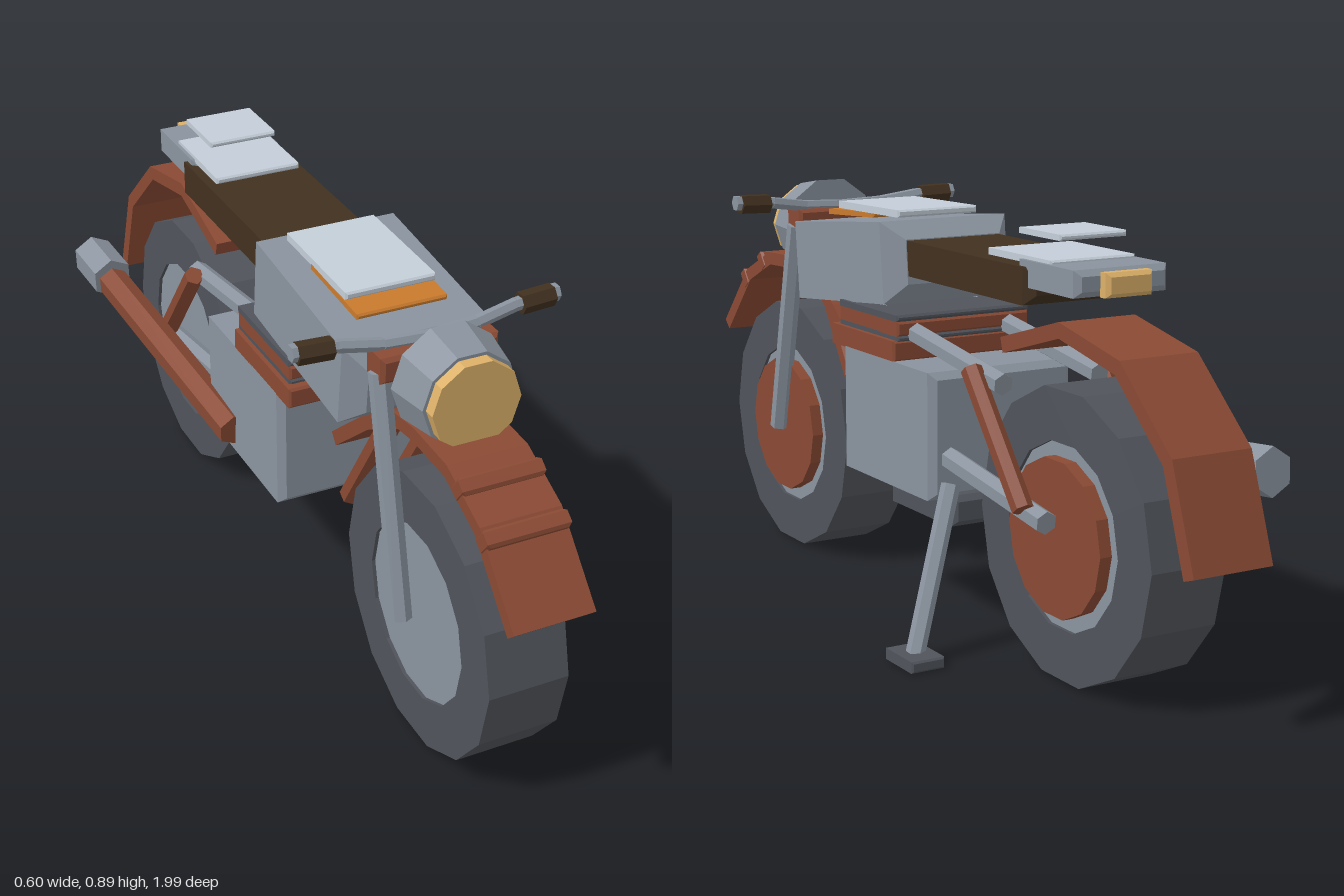
import * as THREE from 'three';

const mat = (color) => new THREE.MeshStandardMaterial({ color, flatShading: true });
const STEEL = mat(0x8a939e), PLATE = mat(0xc4ced8), TYRE = mat(0x50545b), RUST = mat(0x8a4a34),
  BROWN = mat(0x41301f), LENS = mat(0xdcb068), AMBER = mat(0xc87a2c);

const V = (x, y, z) => new THREE.Vector3(x, y, z);

export function createModel() {
  const model = new THREE.Group();
  model.name = 'motorbike';
  // the bike's own centre line sits slightly off x = 0 because of the side stand
  const bike = new THREE.Group();
  bike.name = 'bike';
  bike.position.x = -0.016;
  model.add(bike);

  const add = (name, geometry, material, parent = bike) => {
    const mesh = new THREE.Mesh(geometry, material);
    mesh.name = name;
    parent.add(mesh);
    return mesh;
  };

  // box with chamfered edges, given by its extents in y and z and its width
  const block = (name, w, [y0, y1], [z0, z1], c, material, tilt = 0, x = 0) => {
    const h = y1 - y0, d = z1 - z0, a = w / 2 - c, b = h / 2 - c;
    const shape = new THREE.Shape([[-a, -b], [a, -b], [a, b], [-a, b]].map((p) => new THREE.Vector2(...p)));
    const g = new THREE.ExtrudeGeometry(shape, {
      depth: d - 2 * c, bevelEnabled: true, bevelSize: c, bevelThickness: c, bevelSegments: 1,
    });
    g.translate(0, 0, c - d / 2).rotateX(tilt).translate(x, (y0 + y1) / 2, (z0 + z1) / 2);
    return add(name, g, material);
  };

  // straight round bar between two points
  const bar = (name, a, b, r, material, sides = 6, r2 = r) => {
    const dir = b.clone().sub(a);
    const g = new THREE.CylinderGeometry(r2, r, dir.length(), sides);
    const mesh = add(name, g, material);
    mesh.position.copy(a).add(b).multiplyScalar(0.5);
    mesh.quaternion.setFromUnitVectors(V(0, 1, 0), dir.normalize());
    return mesh;
  };

  // the same bar on both sides
  const barPair = (name, x, [y0, z0], [y1, z1], r, material, sides) => {
    for (const s of [1, -1]) bar(name + (s > 0 ? 'Left' : 'Right'), V(s * x, y0, z0), V(s * x, y1, z1), r, material, sides);
  };

  // bent sheet: [z, y] points along its middle, thickened and extruded across the bike
  const fender = (name, pts, t, w) => {
    const path = pts.map((p) => new THREE.Vector2(...p));
    const side = (s) => path.map((p, i) => {
      const d = path[Math.min(i + 1, path.length - 1)].clone().sub(path[Math.max(i - 1, 0)]).normalize();
      return new THREE.Vector2(p.x - d.y * s, p.y + d.x * s);
    });
    const shape = new THREE.Shape([...side(t / 2), ...side(-t / 2).reverse()]);
    const g = new THREE.ExtrudeGeometry(shape, { depth: w, bevelEnabled: false });
    g.translate(0, 0, -w / 2).rotateY(-Math.PI / 2);
    add(name, g, RUST);
  };

  // wheels: tyre ring, rim and a brake disc on the left
  const wheel = (name, z) => {
    const g = new THREE.Group();
    g.name = name;
    g.position.set(0, 0.295, z);
    g.rotation.z = -Math.PI / 2;
    bike.add(g);
    const ring = [[0.19, -0.085], [0.297, -0.085], [0.297, 0.085], [0.19, 0.085], [0.19, -0.085]];
    add('tyre', new THREE.LatheGeometry(ring.map((p) => new THREE.Vector2(...p)), 14), TYRE, g);
    add('rim', new THREE.CylinderGeometry(0.191, 0.191, 0.155, 14), STEEL, g);
    add('brakeDisc', new THREE.CylinderGeometry(0.16, 0.16, 0.028, 14), RUST, g).position.y = 0.09;
  };
  wheel('frontWheel', 0.626);
  wheel('rearWheel', -0.568);

  fender('frontFender', [[0.985, 0.485], [0.85, 0.63], [0.727, 0.685], [0.6, 0.69], [0.52, 0.68], [0.4, 0.605], [0.255, 0.485]], 0.03, 0.17);
  fender('rearFender', [[-0.35, 0.64], [-0.555, 0.7], [-0.75, 0.66], [-0.91, 0.515], [-0.98, 0.315]], 0.032, 0.178);
  // raised ribs on the front fender
  for (const [y, z] of [[0.618, 0.872], [0.672, 0.775]]) block('fenderRib', 0.174, [y - 0.02, y + 0.02], [z - 0.018, z + 0.018], 0.006, RUST, 0.65);

  // fork, crown and headlight
  barPair('fork', 0.115, [0.29, 0.625], [0.79, 0.514], 0.022, STEEL);
  block('forkCrown', 0.25, [0.775, 0.83], [0.475, 0.545], 0.008, RUST);
  const lamp = (name, rFront, rBack, z0, z1, material) => {
    const g = new THREE.CylinderGeometry(rFront, rBack, z1 - z0, 10, 1, false, Math.PI / 2);
    g.rotateX(Math.PI / 2).translate(0.002, 0.776, (z0 + z1) / 2);
    add(name, g, material);
  };
  lamp('headlightShell', 0.1, 0.116, 0.56, 0.657, STEEL);
  lamp('headlightLens', 0.093, 0.093, 0.65, 0.682, LENS);

  // handlebar in short straight lengths, with grips
  const half = [V(0, 0.832, 0.502), V(0.1, 0.836, 0.498), V(0.19, 0.849, 0.488), V(0.282, 0.856, 0.484)];
  for (const s of [1, -1]) {
    const p = half.map((v) => V(v.x * s, v.y, v.z));
    for (let i = 0; i < 3; i++) bar('handlebar', p[i], p[i + 1], 0.014, STEEL);
    bar('grip', V(s * 0.2, 0.848, 0.487), V(s * 0.272, 0.85, 0.484), 0.023, BROWN);
    bar('gripEnd', V(s * 0.27, 0.853, 0.484), V(s * 0.284, 0.853, 0.484), 0.018, STEEL);
  }

  // tank with its cover plates
  block('tank', 0.312, [0.655, 0.83], [-0.015, 0.47], 0.04, STEEL, 0.1);
  block('tankTrim', 0.196, [0.835, 0.847], [0.17, 0.385], 0.004, AMBER, 0.06);
  block('tankPlate', 0.196, [0.85, 0.866], [0.055, 0.335], 0.004, PLATE, 0.02);

  // seat, tail and rear plates
  block('seat', 0.228, [0.737, 0.812], [-0.485, 0.01], 0.02, BROWN);
  block('tail', 0.212, [0.772, 0.825], [-0.64, -0.43], 0.012, STEEL);
  block('tailPlate', 0.196, [0.818, 0.832], [-0.54, -0.31], 0.004, PLATE);
  block('rackPlate', 0.154, [0.868, 0.88], [-0.54, -0.39], 0.004, PLATE);
  block('tailLight', 0.106, [0.772, 0.82], [-0.665, -0.632], 0.008, LENS);

  // engine case, sump and finned cylinder
  block('engineCase', 0.345, [0.295, 0.565], [-0.213, 0.178], 0.015, STEEL);
  block('sump', 0.281, [0.245, 0.31], [-0.25, 0.02], 0.012, TYRE);
  [[0.345, 0.563, 0.608, RUST], [0.325, 0.604, 0.618, TYRE], [0.325, 0.616, 0.648, RUST], [0.327, 0.648, 0.662, TYRE]]
    .forEach(([w, y0, y1, m], i) => block('engineFin' + i, w, [y0, y1], [-0.055, i ? 0.21 : 0.23], 0.005, m));

  // frame: rails, down tubes, swingarm and rear shocks
  barPair('frameRail', 0.115, [0.68, 0.36], [0.57, -0.4], 0.023, STEEL);
  barPair('downTube', 0.055, [0.64, 0.46], [0.35, 0.275], 0.024, RUST);
  barPair('swingarm', 0.125, [0.385, -0.2], [0.33, -0.575], 0.024, STEEL);
  barPair('rearShock', 0.15, [0.595, -0.335], [0.35, -0.53], 0.022, RUST);

  // exhaust on the right
  bar('exhaustPipe', V(-0.176, 0.35, -0.06), V(-0.219, 0.422, -0.71), 0.037, RUST);
  bar('exhaustTip', V(-0.219, 0.43, -0.7), V(-0.226, 0.44, -0.82), 0.05, STEEL);

  // side stand on the left
  bar('sideStand', V(0.15, 0.34, -0.255), V(0.275, 0.015, -0.325), 0.02, STEEL);
  block('standFoot', 0.075, [0, 0.024], [-0.385, -0.272], 0.004, TYRE, 0, 0.277);

  return model;
}
